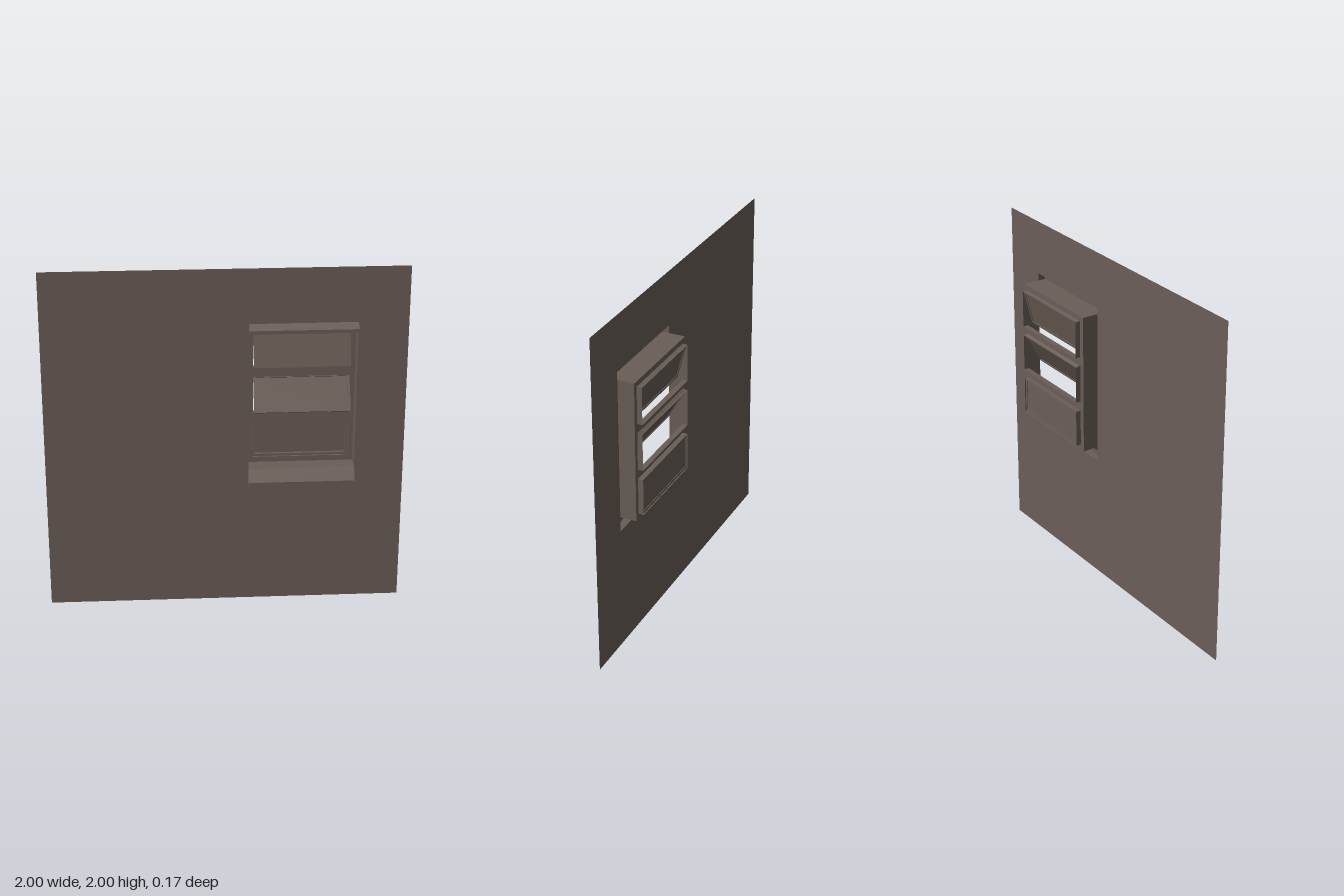
import * as THREE from 'three';

const X0 = 0.13, X1 = 0.725;              // recess width
const WALL_Z = 0.04, FRAME_Z = -0.055, BACK_Z = -0.085;
const SASH = { x0: 0.16, x1: 0.698, h: 0.215 };

// Rectangle outline as a path or shape
function rect(target, x0, y0, x1, y1) {
  target.moveTo(x0, y0);
  target.lineTo(x1, y0);
  target.lineTo(x1, y1);
  target.lineTo(x0, y1);
  target.closePath();
  return target;
}

// Flat-shaded quads joining two matching rows of points
function strip(a, b) {
  const pos = [];
  for (let i = 0; i < a.length - 1; i++) {
    for (const p of [a[i], a[i + 1], b[i + 1], a[i], b[i + 1], b[i]]) pos.push(...p);
  }
  const g = new THREE.BufferGeometry();
  g.setAttribute('position', new THREE.Float32BufferAttribute(pos, 3));
  g.computeVertexNormals();
  return g;
}

// Open rectangular sleeve running from zFront back to zBack
function sleeve(x0, y0, x1, y1, zFront, zBack) {
  const loop = [[x0, y0], [x1, y0], [x1, y1], [x0, y1], [x0, y0]];
  return strip(loop.map(([x, y]) => [x, y, zBack]), loop.map(([x, y]) => [x, y, zFront]));
}

export function createModel() {
  const model = new THREE.Group();
  model.name = 'windowWall';
  const mat = new THREE.MeshStandardMaterial({ color: 0x6a5e57, side: THREE.DoubleSide });
  mat.name = 'brownPaint';

  const add = (parent, name, geometry, z = 0) => {
    const mesh = new THREE.Mesh(geometry, mat);
    mesh.name = name;
    mesh.position.z = z;
    parent.add(mesh);
    return mesh;
  };

  // Thin wall, cut away behind the window, header and sill
  const wall = rect(new THREE.Shape(), -1, 0, 1, 2);
  wall.holes.push(rect(new THREE.Path(), X0, 0.73, X1, 1.685));
  add(model, 'wall', new THREE.ShapeGeometry(wall), WALL_Z);

  // Recess sides
  add(model, 'recess', sleeve(X0, 0.82, X1, 1.64, WALL_Z, FRAME_Z));

  // Header and sill: wedge profiles (z, y), open towards the wall
  const wedge = (name, profile) => {
    const group = new THREE.Group();
    group.name = name;
    model.add(group);
    add(group, name + 'Faces', strip(
      profile.map(([z, y]) => [X0, y, z]),
      profile.map(([z, y]) => [X1, y, z])));
    const cap = new THREE.Shape(profile.map(([z, y]) => new THREE.Vector2(-z, y)));
    for (const x of [X0, X1]) {
      const end = add(group, name + 'End', new THREE.ShapeGeometry(cap));
      end.rotation.y = Math.PI / 2;
      end.position.x = x;
    }
  };
  wedge('header', [[0.04, 1.64], [0.085, 1.64], [0.085, 1.66], [0.04, 1.685]]);
  wedge('sill', [[0.04, 0.73], [0.085, 0.73], [0.085, 0.755], [0.04, 0.82]]);

  // Back frame with three openings, each with a sleeve and a top-hung sash
  const frame = rect(new THREE.Shape(), X0, 0.82, X1, 1.64);
  const { x0, x1, h } = SASH;
  const w = x1 - x0;
  const rim = 0.014;
  [[1.61, 15], [1.338, 30], [1.066, 0]].forEach(([top, angle]) => {
    frame.holes.push(rect(new THREE.Path(), x0, top - h, x1, top));
    add(model, 'openingSleeve', sleeve(x0, top - h, x1, top, FRAME_Z, BACK_Z));

    const sash = new THREE.Group();
    sash.name = 'sash';
    sash.position.set((x0 + x1) / 2, top - 0.002, -0.08);
    sash.rotation.x = -THREE.MathUtils.degToRad(angle);
    model.add(sash);

    const sw = w / 2 - 0.002, sh = h - 0.004;
    const rail = rect(new THREE.Shape(), -sw, -sh, sw, 0);
    rail.holes.push(rect(new THREE.Path(), -sw + rim, -sh + rim, sw - rim, -rim));
    add(sash, 'sashRim', new THREE.ExtrudeGeometry(rail, { depth: 0.02, bevelEnabled: false }));
    const pane = rect(new THREE.Shape(), -sw + rim, -sh + rim, sw - rim, -rim);
    add(sash, 'pane', new THREE.ShapeGeometry(pane), 0.004);
  });
  add(model, 'backFrame', new THREE.ShapeGeometry(frame), FRAME_Z);

  return model;
}
